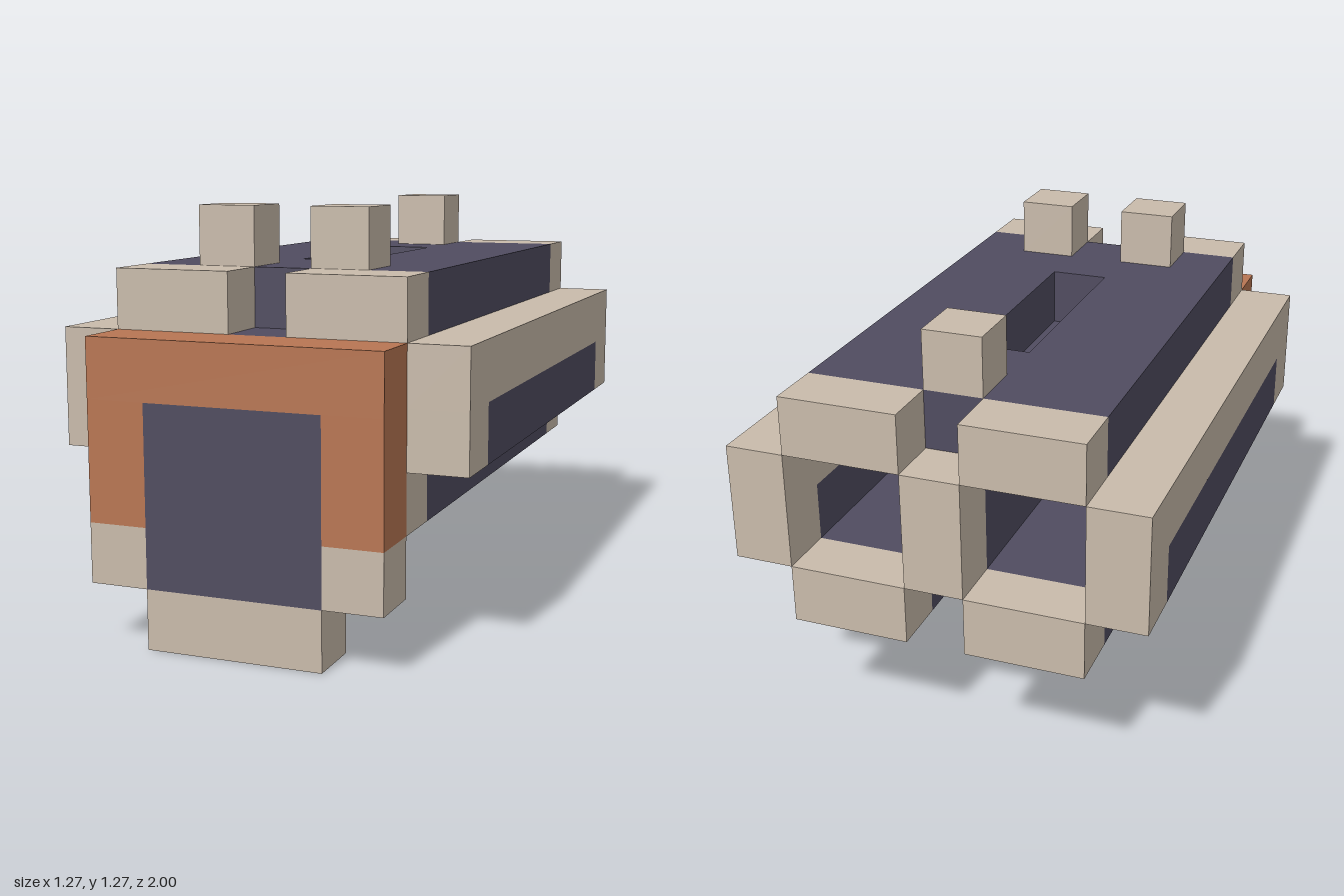
import * as THREE from 'three';

const U = 2 / 11; // one block

export function createModel() {
  const model = new THREE.Group();
  model.name = 'blockModel';
  const mat = (name, color) => {
    const m = new THREE.MeshStandardMaterial({ color });
    m.name = name;
    return m;
  };
  const beige = mat('beige', 0xc9bbab);
  const slate = mat('slate', 0x504c60);
  const rust = mat('rust', 0xb87653);

  // Box spanning inclusive block ranges: x -3..3, y 0..6 upward, z 0..10 from front to back
  const block = (name, material, [x0, x1], [y0, y1], [z0, z1]) => {
    const geo = new THREE.BoxGeometry((x1 - x0 + 1) * U, (y1 - y0 + 1) * U, (z1 - z0 + 1) * U);
    const mesh = new THREE.Mesh(geo, material);
    mesh.name = name;
    mesh.position.set(((x0 + x1) / 2) * U, ((y0 + y1 + 1) / 2) * U, 1 - ((z0 + z1 + 1) / 2) * U);
    model.add(mesh);
  };
  // Same box on both sides
  const pair = (name, material, [x0, x1], y, z) => {
    block(name + 'Left', material, [x0, x1], y, z);
    block(name + 'Right', material, [-x1, -x0], y, z);
  };

  // Front plate
  block('frontPanel', slate, [-1, 1], [1, 3], [0, 0]);
  block('frontPlateTop', rust, [-2, 2], [4, 4], [0, 0]);
  pair('frontPlateSide', rust, [2, 2], [2, 3], [0, 0]);
  pair('frontPlateFoot', beige, [2, 2], [1, 1], [0, 0]);

  // Lower guard and its hooked end
  block('guardFront', beige, [-1, 1], [0, 0], [0, 0]);
  block('guardBar', beige, [0, 0], [0, 0], [1, 2]);
  block('guardHook', beige, [0, 0], [1, 1], [3, 3]);

  // Side rails with inset colour strip
  pair('railTop', beige, [3, 3], [4, 4], [1, 10]);
  pair('railStrip', slate, [3, 3], [3, 3], [2, 9]);
  pair('railFrontEnd', beige, [3, 3], [3, 3], [1, 1]);
  pair('railBackEnd', beige, [3, 3], [3, 3], [10, 10]);

  // Floor and roof slabs with pale ends
  for (const [name, y] of [['floor', 2], ['roof', 5]]) {
    pair(name + 'Slab', slate, [1, 2], [y, y], [2, 9]);
    pair(name + 'FrontEnd', beige, [1, 2], [y, y], [1, 1]);
    pair(name + 'BackEnd', beige, [1, 2], [y, y], [10, 10]);
  }

  // Roof centre strip, leaving an open slot
  block('roofCentreFront', slate, [0, 0], [5, 5], [2, 3]);
  block('roofCentreBack', slate, [0, 0], [5, 5], [8, 9]);

  // Central wall between the two hollow channels
  block('centreWall', slate, [0, 0], [3, 4], [1, 9]);
  block('centreWallBackEnd', beige, [0, 0], [3, 4], [10, 10]);

  // Sighting studs on the roof
  pair('frontStud', beige, [1, 1], [6, 6], [2, 2]);
  block('rearStud', beige, [0, 0], [6, 6], [9, 9]);

  return model;
}
